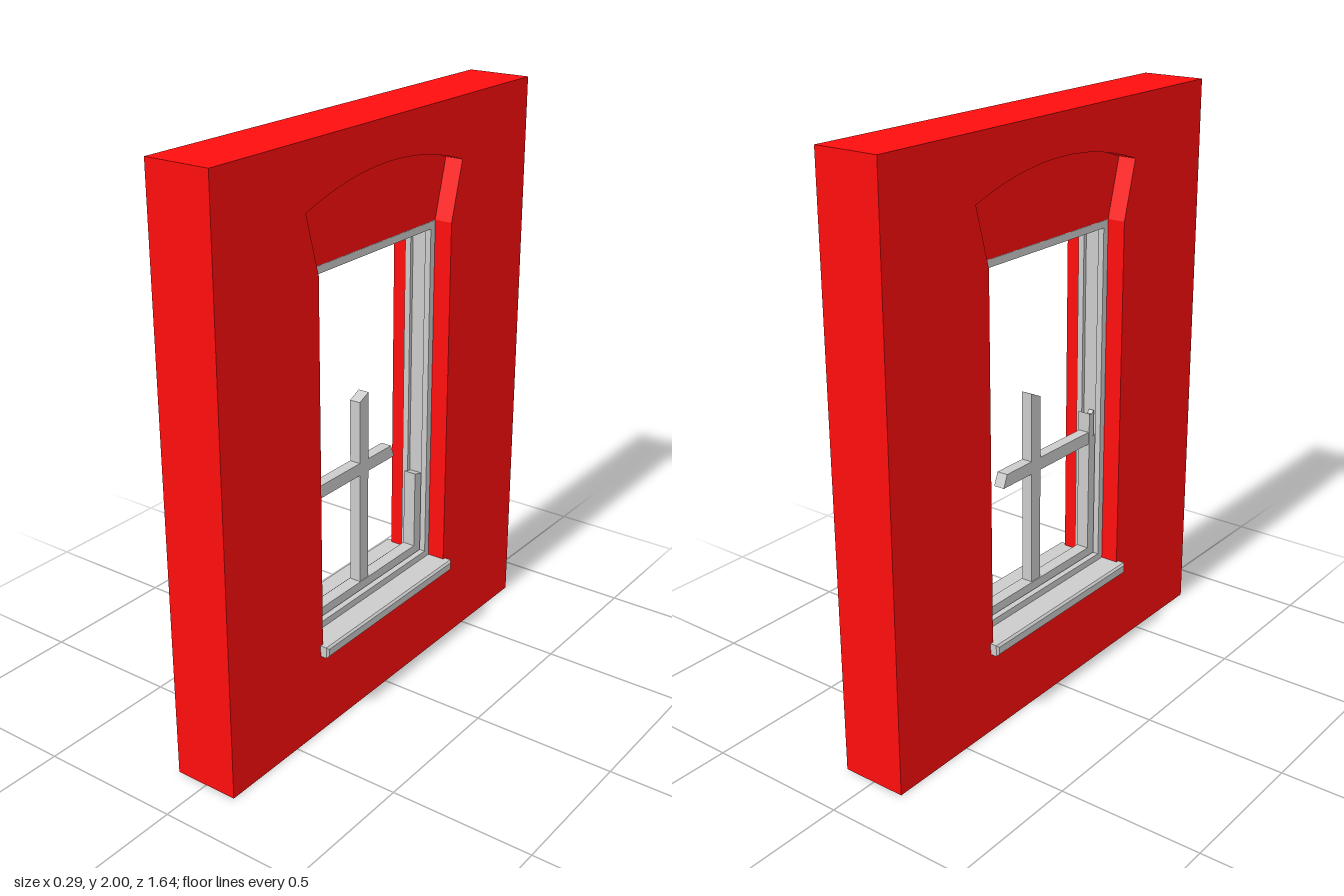
import * as THREE from 'three';

const grey = new THREE.MeshStandardMaterial({ color: 0xcccccc, flatShading: true });
const red = new THREE.MeshStandardMaterial({ color: 0xff0d0d, flatShading: true });

const polygon = (points) => new THREE.Shape(points.map(([z, y]) => new THREE.Vector2(z, y)));
const rect = (hw, y0, y1) => [[-hw, y0], [hw, y0], [hw, y1], [-hw, y1]];

// Extrude a (z, y) outline through the wall thickness, centred on x
function slab(name, shape, depth, material, x = 0) {
  const geometry = new THREE.ExtrudeGeometry(shape, { depth, bevelEnabled: false, curveSegments: 12 });
  geometry.translate(0, 0, -depth / 2);
  geometry.rotateY(-Math.PI / 2);
  const mesh = new THREE.Mesh(geometry, material);
  mesh.name = name;
  mesh.position.x = x;
  return mesh;
}

// Rectangular frame with an even border
function ring(name, hw, y0, y1, border, depth, x = 0) {
  const shape = polygon(rect(hw, y0, y1));
  shape.holes.push(polygon(rect(hw - border, y0 + border, y1 - border)));
  return slab(name, shape, depth, grey, x);
}

// Flared head with a shallow arched top; base is the list of lower corners
function archedOutline(base) {
  const shape = new THREE.Shape();
  shape.moveTo(-0.415, 1.79);
  for (const [z, y] of base) shape.lineTo(z, y);
  shape.lineTo(0.415, 1.79);
  shape.quadraticCurveTo(0, 1.934, -0.415, 1.79);
  return shape;
}

export function createModel() {
  const model = new THREE.Group();
  model.name = 'windowInWall';

  // Wall with arched opening
  const wallShape = polygon(rect(0.82, 0, 2));
  wallShape.holes.push(archedOutline([[-0.358, 1.588], [-0.358, 0.31], [0.358, 0.31], [0.358, 1.588]]));
  model.add(slab('wall', wallShape, 0.23, red));

  // Recessed panel filling the arch
  model.add(slab('archPanel', archedOutline([[-0.358, 1.588], [0.358, 1.588]]), 0.1, red));

  // Fixed frame: lining with a raised stop on each face, leaving a sash channel
  const frame = new THREE.Group();
  frame.name = 'windowFrame';
  frame.add(ring('frameLining', 0.358, 0.328, 1.588, 0.012, 0.1));
  for (const side of [-1, 1]) {
    frame.add(ring(side > 0 ? 'leftStop' : 'rightStop', 0.357, 0.329, 1.587, 0.025, 0.022, side * 0.04));
  }
  model.add(frame);

  // Sill through the wall with chamfered edges
  const bevel = 0.007;
  const sillGeometry = new THREE.ExtrudeGeometry(
    polygon(rect(0.37 - bevel, 0.29 + bevel, 0.33 - bevel)),
    { depth: 0.29 - 2 * bevel, bevelThickness: bevel, bevelSize: bevel, bevelSegments: 1 }
  );
  sillGeometry.translate(0, 0, -0.145 + bevel);
  sillGeometry.rotateY(-Math.PI / 2);
  const sill = new THREE.Mesh(sillGeometry, grey);
  sill.name = 'sill';
  model.add(sill);

  // Broken sash: each piece ends in a slanted break
  const sash = new THREE.Group();
  sash.name = 'brokenSash';
  const pieces = {
    bottomRail: rect(0.345, 0.34, 0.38),
    frontStile: [[0.305, 0.36], [0.345, 0.36], [0.345, 0.81], [0.325, 0.81], [0.325, 0.89], [0.305, 0.9]],
    backStile: [[-0.345, 0.36], [-0.303, 0.36], [-0.303, 0.667], [-0.345, 0.655]],
    verticalBar: [[-0.024, 0.37], [0.024, 0.37], [0.024, 1.05], [-0.024, 1.072]],
    crossBar: [[-0.175, 0.785], [0.32, 0.785], [0.32, 0.83], [-0.157, 0.83]],
  };
  for (const [name, points] of Object.entries(pieces)) {
    sash.add(slab(name, polygon(points), name.endsWith('Bar') ? 0.04 : 0.046, grey));
  }
  // Splinter left on the taller stile
  sash.add(slab('stileSplinter', polygon([[0.32, 0.8], [0.333, 0.8], [0.333, 0.905], [0.32, 0.895]]), 0.02, grey, -0.012));
  model.add(sash);

  return model;
}
